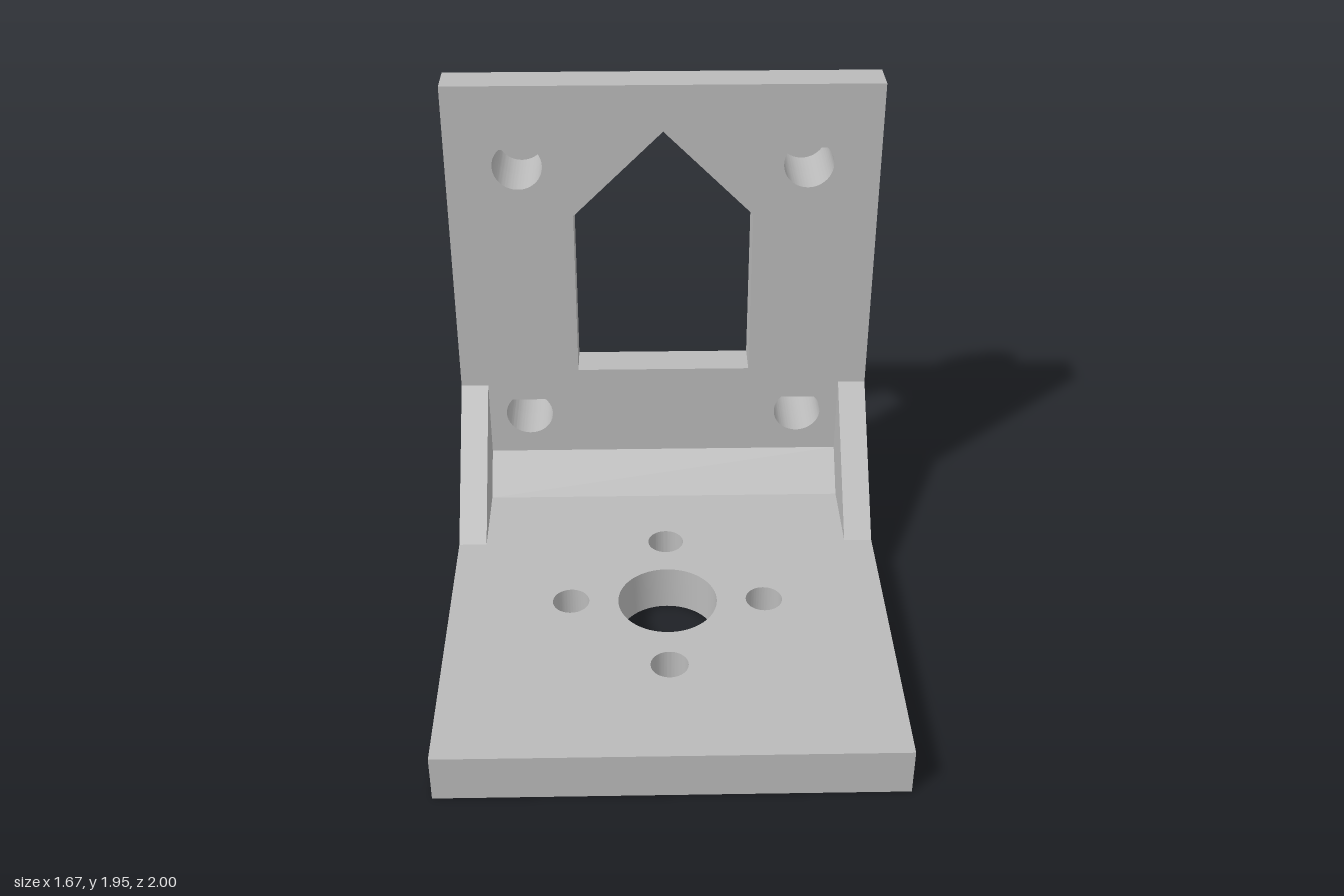
import * as THREE from 'three';
import { toCreasedNormals } from 'three/addons/utils/BufferGeometryUtils.js';

const W = 0.835, H = 1.953;              // half width, height
const BACK = -0.82, WALL = -0.675;       // rear and front of the upright
const BASE = 0.185;                      // base thickness
const HOLE_END = -0.96;                  // bottom of the blind holes

const polygon = (points) => new THREE.Shape(points.map(([x, y]) => new THREE.Vector2(x, y)));

function circle(x, y, r) {
  const path = new THREE.Path();
  path.absarc(x, y, r, 0, Math.PI * 2);
  return path;
}

// Circle with a 45 degree point; dir = 1 points up, -1 points down
function teardrop(x, y, r, dir) {
  const shape = new THREE.Shape();
  const start = dir > 0 ? Math.PI * 0.75 : -Math.PI * 0.25;
  shape.moveTo(x, y + dir * r * Math.SQRT2);
  shape.absarc(x, y, r, start, start + Math.PI * 1.5, false);
  shape.closePath();
  return shape;
}

function extrude(shape, depth) {
  const geometry = new THREE.ExtrudeGeometry(shape, { depth, bevelEnabled: false, curveSegments: 40 });
  return toCreasedNormals(geometry, 0.5);
}

export function createModel() {
  const group = new THREE.Group();
  group.name = 'mountingBracket';
  const grey = new THREE.MeshStandardMaterial({ color: 0xbababa });
  grey.name = 'grey';

  const add = (name, geometry, x = 0, y = 0, z = 0) => {
    const mesh = new THREE.Mesh(geometry, grey);
    mesh.name = name;
    mesh.position.set(x, y, z);
    group.add(mesh);
  };

  // Base plate with a centre bore and four screw holes
  const base = polygon([[-W, -1], [W, -1], [W, -BACK], [-W, -BACK]]);
  base.holes.push(circle(0, -0.16, 0.19));
  for (const [x, z] of [[0.372, 0], [-0.372, 0], [0, 0.372], [0, -0.372]]) {
    base.holes.push(circle(x, -0.16 - z, 0.07));
  }
  add('basePlate', extrude(base, BASE).rotateX(-Math.PI / 2));

  // Upright plate with a gabled window and teardrop holes
  const pegs = [];
  for (const x of [-0.559, 0.559]) for (const y of [0.515, 1.63]) pegs.push([x, y]);
  const wall = polygon([[-W, BASE], [W, BASE], [W, H], [-W, H]]);
  wall.holes.push(polygon([[-0.35, 0.723], [0.35, 0.723], [0.35, 1.42], [0, 1.768], [-0.35, 1.42]]));
  for (const [x, y] of pegs) wall.holes.push(teardrop(x, y, 0.096, 1));
  add('uprightPlate', extrude(wall, WALL - BACK), 0, 0, BACK);

  // Rear bosses: a hollow teardrop closed by an end cap
  for (const [x, y] of pegs) {
    const sleeve = teardrop(x, y, 0.187, -1);
    sleeve.holes.push(teardrop(x, y, 0.096, 1));
    add('bossSleeve', extrude(sleeve, BACK - HOLE_END), 0, 0, HOLE_END);
    add('bossCap', extrude(teardrop(x, y, 0.187, -1), HOLE_END + 1), 0, 0, -1);
  }

  // Triangular braces drawn in (z, y) and extruded along x
  const brace = (size, width) =>
    extrude(polygon([[WALL, BASE], [WALL + size, BASE], [WALL, BASE + size]]), width)
      .rotateY(-Math.PI / 2)
      .translate(width / 2, 0, 0);
  const thick = 0.11;
  for (const side of [-1, 1]) {
    add(side > 0 ? 'leftGusset' : 'rightGusset', brace(0.468, thick), side * (W - thick / 2));
  }
  add('cornerFillet', brace(0.143, 2 * (W - thick)));

  return group;
}
